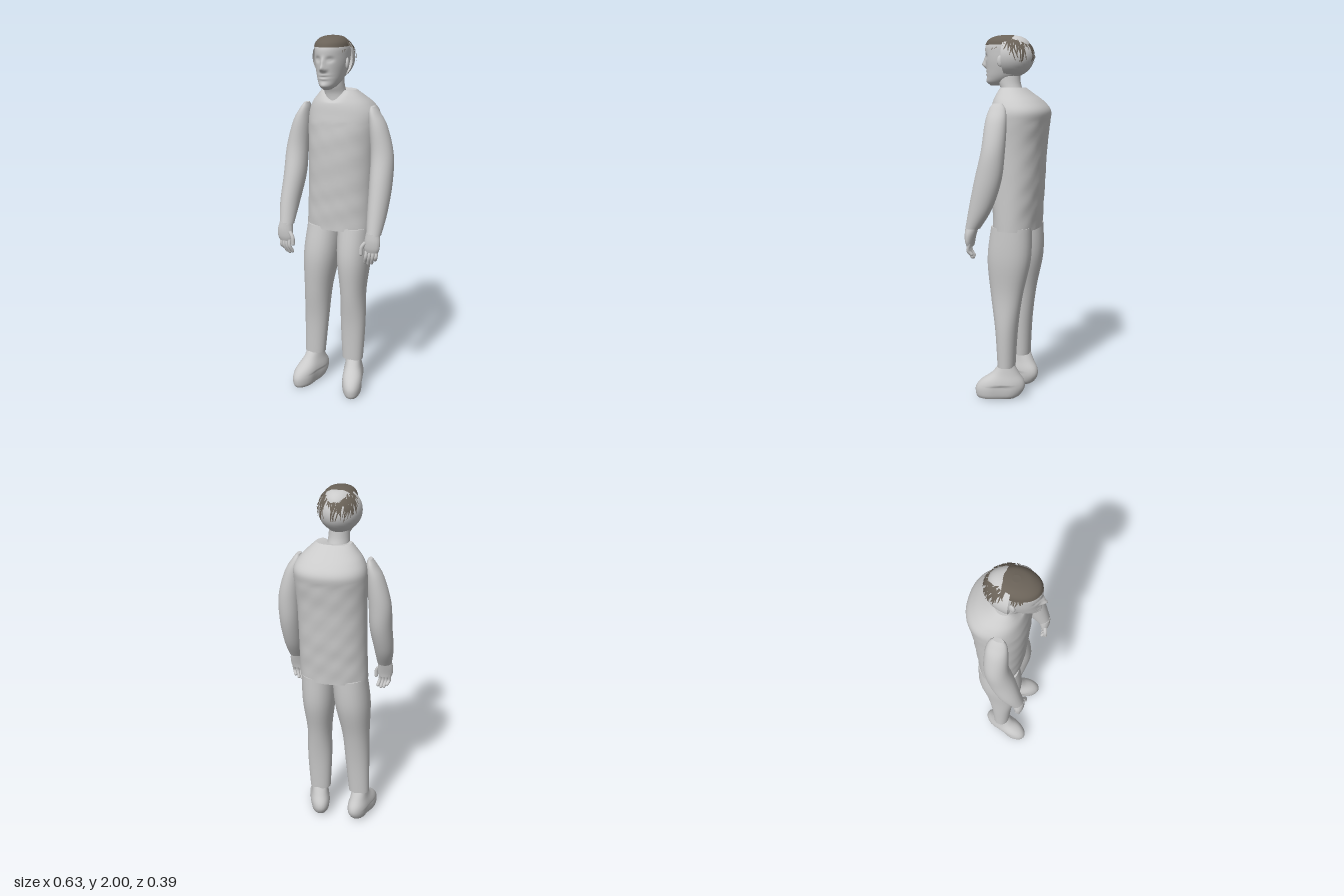
import * as THREE from 'three';

const grey = new THREE.MeshStandardMaterial({ color: 0xcacaca });
grey.name = 'plain grey';
const greyOpen = grey.clone();
greyOpen.side = THREE.DoubleSide;
const brown = new THREE.MeshStandardMaterial({ color: 0x6a6258, side: THREE.DoubleSide });
brown.name = 'hair brown';

const bump = (d, w) => Math.exp(-(d * d) / (w * w));

function add(parent, name, geo, mat = grey) {
  const m = new THREE.Mesh(geo, mat);
  m.name = name;
  parent.add(m);
  return m;
}

// Smooth interpolation through the rows of a table
function sample(rows, t) {
  const f = t * (rows.length - 1), i = Math.min(Math.floor(f), rows.length - 2), u = f - i;
  const [a, b, c, d] = [-1, 0, 1, 2].map(k => rows[THREE.MathUtils.clamp(i + k, 0, rows.length - 1)]);
  return b.map((_, k) => b[k] + 0.5 * u * (c[k] - a[k]
    + u * (2 * a[k] - 5 * b[k] + 4 * c[k] - d[k] + u * (3 * (b[k] - c[k]) + d[k] - a[k]))));
}

// Skin over horizontal rings [y, xMin, xMax, zBack, zFront], listed from bottom to top
function loft(rings, { seg = 28, steps = 5, power = 1, sculpt = null, cap = true } = {}) {
  const n = (rings.length - 1) * steps, pos = [], idx = [];
  const shape = v => Math.sign(v) * Math.abs(v) ** power;
  for (let r = 0; r <= n; r++) {
    const [y, x0, x1, z0, z1] = sample(rings, r / n);
    for (let s = 0; s < seg; s++) {
      const a = s / seg * Math.PI * 2;
      const v = new THREE.Vector3((x0 + x1) / 2 + (x1 - x0) / 2 * shape(Math.cos(a)), y,
        (z0 + z1) / 2 + (z1 - z0) / 2 * shape(Math.sin(a)));
      if (sculpt) sculpt(v, a);
      pos.push(v.x, v.y, v.z);
      if (r === n) continue;
      const i = r * seg + s, j = r * seg + (s + 1) % seg;
      idx.push(i, i + seg, j, j, i + seg, j + seg);
    }
  }
  // Separate cap vertices keep the end edges crisp
  if (cap) for (const top of [false, true]) {
    const from = top ? n * seg : 0, base = pos.length / 3, c = [0, 0, 0];
    for (let s = 0; s < seg; s++) for (let k = 0; k < 3; k++) {
      const p = pos[(from + s) * 3 + k];
      pos.push(p);
      c[k] += p / seg;
    }
    pos.push(...c);
    for (let s = 0; s < seg; s++) {
      const i = base + s, j = base + (s + 1) % seg;
      idx.push(base + seg, ...(top ? [j, i] : [i, j]));
    }
  }
  const g = new THREE.BufferGeometry();
  g.setAttribute('position', new THREE.Float32BufferAttribute(pos, 3));
  g.setIndex(idx);
  g.computeVertexNormals();
  return g;
}

function tube(points, r) {
  return new THREE.TubeGeometry(new THREE.CatmullRomCurve3(points.map(p => new THREE.Vector3(...p))), 8, r, 8);
}

// Rounded hand with four hanging fingers and a thumb on the inner side
function makeHand(side, x, name) {
  const hand = new THREE.Group();
  hand.name = name;
  add(hand, 'palm', loft([[0.895, -0.036, 0.036, 0.135, 0.168], [0.92, -0.042, 0.045, 0.13, 0.175],
    [0.96, -0.04, 0.046, 0.118, 0.178], [1.0, -0.034, 0.036, 0.105, 0.175]], { seg: 16 }));
  for (let i = 0; i < 4; i++) {
    const fx = -0.026 + i * 0.018, end = [0.835, 0.828, 0.833, 0.85][i], fz = 0.16 - i * 0.003;
    add(hand, 'finger', tube([[fx, 0.91, fz - 0.005], [fx - 0.002, 0.87, fz + 0.003], [fx - 0.012, end, fz - 0.012]], 0.0095));
    const tip = add(hand, 'fingertip', new THREE.SphereGeometry(0.0095, 8, 6));
    tip.position.set(fx - 0.012, end, fz - 0.012);
  }
  add(hand, 'thumb', tube([[-0.03, 0.95, 0.16], [-0.05, 0.92, 0.168], [-0.053, 0.885, 0.17]], 0.011));
  const tip = add(hand, 'thumbTip', new THREE.SphereGeometry(0.011, 8, 6));
  tip.position.set(-0.053, 0.885, 0.17);
  hand.position.x = x;
  if (side < 0) hand.rotation.y = 0;
  return hand;
}

function makeHair() {
  let seed = 7;
  const rand = () => (seed = (seed * 16807) % 2147483647) / 2147483647;
  const pos = [], idx = [];
  const point = (az, polar, k) => {
    const s = Math.sin(az), back = s < 0;
    const rx = back ? 0.115 : THREE.MathUtils.lerp(0.1, 0.09, s);
    return [-0.025 + rx * k * Math.cos(az) * Math.sin(polar), 1.882 + 0.115 * k * Math.cos(polar),
      0.042 + (back ? 0.141 : 0.134) * k * s * Math.sin(polar)];
  };
  // Thin curved locks laid over the scalp
  const lock = (az, p0, p1) => {
    const drift = (rand() - 0.5) * 0.5, k = 1.005 + rand() * 0.025, half = 0.03 + rand() * 0.03;
    for (let i = 0; i <= 6; i++) {
      const t = i / 6, p = p0 + (p1 - p0) * t, w = half * (1 - 0.7 * t) / Math.max(0.3, Math.sin(p));
      for (const e of [-w, w]) pos.push(...point(az + drift * t + e, p, k));
      if (i === 6) continue;
      const b = pos.length / 3 - 2;
      idx.push(b, b + 1, b + 2, b + 1, b + 3, b + 2);
    }
  };
  for (let i = 0; i < 60; i++) {
    const az = 0.1 + rand() * (Math.PI - 0.2);
    lock(az, 0.2 + rand() * 0.4, 0.95 + 0.4 * Math.abs(Math.cos(az)) * rand());
  }
  for (let i = 0; i < 95; i++) {
    const az = -0.35 - rand() * (Math.PI - 0.7);
    const p0 = 0.55 + rand() * 0.5;
    lock(az, p0, p0 + 0.3 + rand() * 0.55);
  }
  const g = new THREE.BufferGeometry();
  g.setAttribute('position', new THREE.Float32BufferAttribute(pos, 3));
  g.setIndex(idx);
  g.computeVertexNormals();
  return g;
}

export function createModel() {
  const model = new THREE.Group();
  model.name = 'standingMan';

  // Jacket body with a V neck and faint folds
  add(model, 'torso', loft([[0.965, -0.197, 0.178, -0.14, 0.1], [1.08, -0.192, 0.18, -0.148, 0.105],
    [1.2, -0.187, 0.181, -0.158, 0.11], [1.4, -0.185, 0.186, -0.172, 0.118], [1.53, -0.187, 0.196, -0.188, 0.116],
    [1.6, -0.183, 0.196, -0.194, 0.108], [1.65, -0.16, 0.168, -0.155, 0.1], [1.69, -0.125, 0.128, -0.1, 0.085],
    [1.722, -0.095, 0.092, -0.055, 0.068]], {
    seg: 48, steps: 6, power: 0.9, sculpt: (v, a) => {
      const s = Math.sin(a);
      if (v.y < 1.55) v.z += 0.002 * Math.sin(v.y * 47 + v.x * 21) * Math.sin(v.x * 38) * Math.sign(s);
      if (s > 0 && v.y > 1.66) v.y -= 0.055 * Math.max(0, 1 - Math.abs(v.x + 0.012) / 0.075) * (v.y - 1.66) / 0.062;
    }
  }));

  // Trousers
  add(model, 'rightLeg', loft([[0.185, -0.213, -0.093, -0.035, 0.06], [0.4, -0.21, -0.072, -0.05, 0.072],
    [0.6, -0.207, -0.052, -0.08, 0.1], [0.8, -0.21, -0.014, -0.125, 0.118], [0.98, -0.19, 0.0, -0.13, 0.095]], { power: 0.92 }));
  add(model, 'leftLeg', loft([[0.185, 0.022, 0.142, -0.035, 0.06], [0.4, 0.013, 0.154, -0.05, 0.072],
    [0.6, 0.013, 0.152, -0.08, 0.1], [0.8, -0.008, 0.171, -0.125, 0.118], [0.98, -0.01, 0.172, -0.13, 0.095]], { power: 0.92 }));

  // Shoes turned outwards
  for (const [name, x, turn] of [['rightShoe', -0.155, -0.3], ['leftShoe', 0.083, 0.3]]) {
    const shoe = add(model, name, loft([[0.0, -0.046, 0.046, -0.035, 0.175], [0.02, -0.058, 0.058, -0.065, 0.185],
      [0.06, -0.064, 0.064, -0.09, 0.185], [0.1, -0.062, 0.062, -0.088, 0.158], [0.145, -0.052, 0.052, -0.06, 0.095],
      [0.195, -0.045, 0.045, -0.032, 0.055]], {
      power: 0.95, sculpt: v => { v.x *= 1 - 0.25 * bump(v.z - 0.04, 0.05) * (v.y < 0.08 ? 1 : 0.4); }
    }));
    shoe.position.x = x;
    shoe.rotation.y = turn;
  }

  // Sleeves, bent gently forward
  const arms = new THREE.Group();
  arms.name = 'arms';
  model.add(arms);
  const sleeve = [[0.99, 0.208, 0.288, 0.095, 0.175], [1.1, 0.197, 0.302, 0.025, 0.152], [1.25, 0.19, 0.311, -0.028, 0.118],
    [1.4, 0.185, 0.305, -0.045, 0.082], [1.54, 0.172, 0.266, -0.045, 0.072], [1.61, 0.17, 0.225, -0.033, 0.06],
    [1.643, 0.178, 0.2, -0.012, 0.042]];
  add(arms, 'leftArm', loft(sleeve, { seg: 24 }));
  add(arms, 'rightArm', loft(sleeve.map(([y, a, b, z0, z1], i) => {
    const out = i < 2 ? 0.014 : 0;
    return [y, -b - out, -a - out, z0, z1];
  }), { seg: 24 }));
  arms.add(makeHand(1, 0.243, 'leftHand'));
  const mirror = new THREE.Group();
  mirror.name = 'rightHandSide';
  mirror.scale.x = -1;
  mirror.add(makeHand(1, 0.263, 'rightHand'));
  arms.add(mirror);

  // Neck leaning forward
  add(model, 'neck', loft([[1.63, -0.08, 0.06, -0.045, 0.075], [1.7, -0.078, 0.04, -0.038, 0.078],
    [1.75, -0.077, 0.033, -0.025, 0.095], [1.82, -0.075, 0.03, -0.02, 0.1]], { seg: 24 }));

  // Head with nose, eye sockets, lips and chin
  const c = -0.023;
  const headRings = [[1.732, 0.018, 0.08, 0.145], [1.75, 0.042, 0.03, 0.165], [1.78, 0.061, -0.02, 0.166],
    [1.82, 0.074, -0.055, 0.167], [1.86, 0.082, -0.07, 0.17], [1.9, 0.085, -0.08, 0.173], [1.94, 0.084, -0.08, 0.172],
    [1.97, 0.072, -0.062, 0.152], [1.99, 0.046, -0.025, 0.112], [1.996, 0.012, 0.035, 0.06]]
    .map(([y, w, z0, z1]) => [y, c - w, c + w, z0, z1]);
  add(model, 'head', loft(headRings, {
    seg: 72, steps: 7, sculpt: (v, a) => {
      if (Math.sin(a) < 0.3) return;
      const dx = v.x - c, y = v.y;
      v.z += 0.028 * bump(dx, 0.013) * bump(y - 1.843, 0.018) + 0.014 * bump(dx, 0.01) * bump(y - 1.872, 0.02)
        + 0.007 * bump(Math.abs(dx) - 0.014, 0.008) * bump(y - 1.836, 0.01)
        - 0.012 * bump(Math.abs(dx) - 0.033, 0.016) * bump(y - 1.886, 0.012)
        + 0.005 * bump(Math.abs(dx) - 0.032, 0.009) * bump(y - 1.885, 0.006)
        + 0.007 * bump(dx, 0.025) * (bump(y - 1.807, 0.006) + bump(y - 1.791, 0.006))
        - 0.005 * bump(dx, 0.03) * bump(y - 1.799, 0.004) + 0.006 * bump(dx, 0.022) * bump(y - 1.757, 0.014);
    }
  }));
  for (const s of [-1, 1]) {
    const ear = add(model, s > 0 ? 'leftEar' : 'rightEar', new THREE.SphereGeometry(1, 12, 10));
    ear.scale.set(0.01, 0.03, 0.018);
    ear.position.set(c + s * 0.084, 1.86, 0.055);
    ear.rotation.y = s * 0.3;
  }

  // Open half-dome scalp behind the face
  const scalp = add(model, 'scalp', new THREE.SphereGeometry(1, 28, 24, Math.PI, Math.PI), greyOpen);
  scalp.scale.set(0.113, 0.113, 0.141);
  scalp.position.set(-0.027, 1.885, 0.043);

  // Front hair and loose locks
  add(model, 'frontHair', loft([[1.946, c - 0.086, c + 0.086, -0.06, 0.172], [1.97, c - 0.077, c + 0.077, -0.05, 0.159],
    [1.99, c - 0.053, c + 0.053, -0.02, 0.122], [1.998, c - 0.018, c + 0.018, 0.03, 0.07]], { seg: 32 }), brown);
  add(model, 'hairLocks', makeHair(), brown);
  return model;
}
